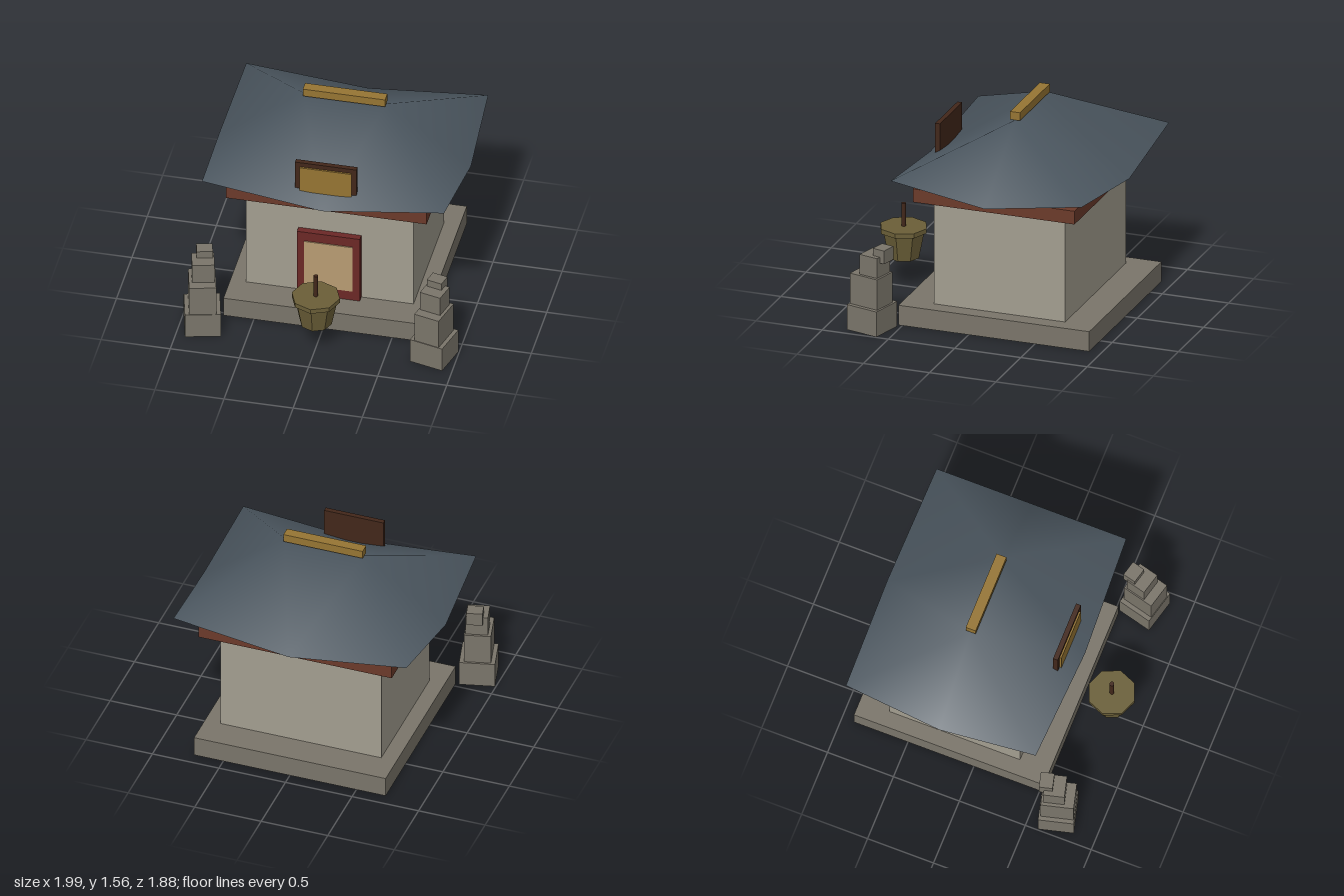
import * as THREE from 'three';

const mat = (color, extra = {}) => new THREE.MeshStandardMaterial({ color, ...extra });
const stone = mat(0x7a756a);
const plaster = mat(0xa39e90);
const timber = mat(0x6b3a2a);
const darkWood = mat(0x42271a);
const gold = mat(0x967533);
const red = mat(0x6b2826);
const paper = mat(0xb89c72);
const bronze = mat(0x6b5f38, { flatShading: true });
const tile = mat(0x4a555e, { side: THREE.DoubleSide });

const CZ = -0.19; // the hall sits behind the origin

function add(parent, name, geometry, material, x, y, z) {
  const mesh = new THREE.Mesh(geometry, material);
  mesh.name = name;
  mesh.position.set(x, y, z);
  parent.add(mesh);
  return mesh;
}

// Box given by its width, depth, bottom, top and centre
function block(parent, name, material, w, d, y0, y1, x = 0, z = 0) {
  return add(parent, name, new THREE.BoxGeometry(w, y1 - y0, d), material, x, (y0 + y1) / 2, z);
}

// Hipped sheet with raised corners and sagging eave middles
function roofGeometry() {
  const cx = 0.875, cz = 0.72, cy = 1.15, mx = 0.91, mz = 0.75, my = 1.05;
  const points = [
    -0.3, 1.5, 0, 0.3, 1.5, 0,                                   // ridge: 0 left end, 1 right end
    -cx, cy, cz, 0, my, mz, cx, cy, cz, mx, my, 0,               // eave loop: 2 to 9
    cx, cy, -cz, 0, my, -mz, -cx, cy, -cz, -mx, my, 0,
  ];
  const ridgeEnd = [0, 1, 1, 1, 1, 0, 0, 0]; // ridge end above each eave segment
  const faces = [0, 3, 1, 1, 7, 0];
  for (let i = 0; i < 8; i++) faces.push(ridgeEnd[i], 2 + i, 2 + (i + 1) % 8);
  const g = new THREE.BufferGeometry();
  g.setAttribute('position', new THREE.Float32BufferAttribute(points, 3));
  g.setIndex(faces);
  g.computeVertexNormals();
  return g;
}

// Stacked guardian figure, turned slightly inward
function guardian(side) {
  const g = new THREE.Group();
  g.name = side > 0 ? 'leftGuardian' : 'rightGuardian';
  const tiers = [
    ['guardianPlinth', 0.255, 0.255, 0, 0.19, 0, 0],
    ['guardianBody', 0.192, 0.235, 0.19, 0.42, 0, 0.005],
    ['guardianChest', 0.16, 0.15, 0.42, 0.57, 0, -0.022],
    ['guardianHead', 0.115, 0.097, 0.525, 0.625, 0.003, -0.085],
  ];
  for (const [name, w, d, y0, y1, x, z] of tiers) {
    block(g, name, stone, w, d, y0, y1, side * x, z).rotation.y = -side * 0.25;
  }
  g.position.set(side * 0.838, 0, 0.685);
  return g;
}

export function createModel() {
  const model = new THREE.Group();
  model.name = 'shrine';

  // Hall
  block(model, 'base', stone, 1.44, 1.44, 0, 0.15, 0, CZ);
  block(model, 'walls', plaster, 1.21, 0.99, 0.15, 0.95, 0, CZ);
  block(model, 'eaveBeam', timber, 1.45, 1.22, 0.95, 1.05, 0, CZ);
  add(model, 'roof', roofGeometry(), tile, 0, 0, CZ);
  block(model, 'ridgeCap', gold, 0.595, 0.075, 1.5, 1.56, 0, CZ);

  // Door and gable plaque
  block(model, 'doorFrame', red, 0.454, 0.05, 0.15, 0.69, 0, 0.33);
  block(model, 'doorPanel', paper, 0.35, 0.02, 0.23, 0.615, 0, 0.353);
  block(model, 'plaqueFrame', darkWood, 0.445, 0.036, 1.085, 1.36, 0, 0.423);
  block(model, 'plaquePanel', gold, 0.375, 0.02, 1.12, 1.325, 0, 0.444);

  // Incense urn with rim and stick
  const urn = new THREE.Group();
  urn.name = 'urn';
  urn.position.z = 0.763;
  add(urn, 'urnBowl', new THREE.CylinderGeometry(0.155, 0.115, 0.2, 8), bronze, 0, 0.325, 0);
  add(urn, 'urnRim', new THREE.CylinderGeometry(0.174, 0.174, 0.035, 8), bronze, 0, 0.439, 0);
  add(urn, 'incenseStick', new THREE.CylinderGeometry(0.017, 0.017, 0.19, 8), darkWood, 0, 0.535, 0);
  model.add(urn);

  for (const side of [1, -1]) model.add(guardian(side));
  return model;
}
